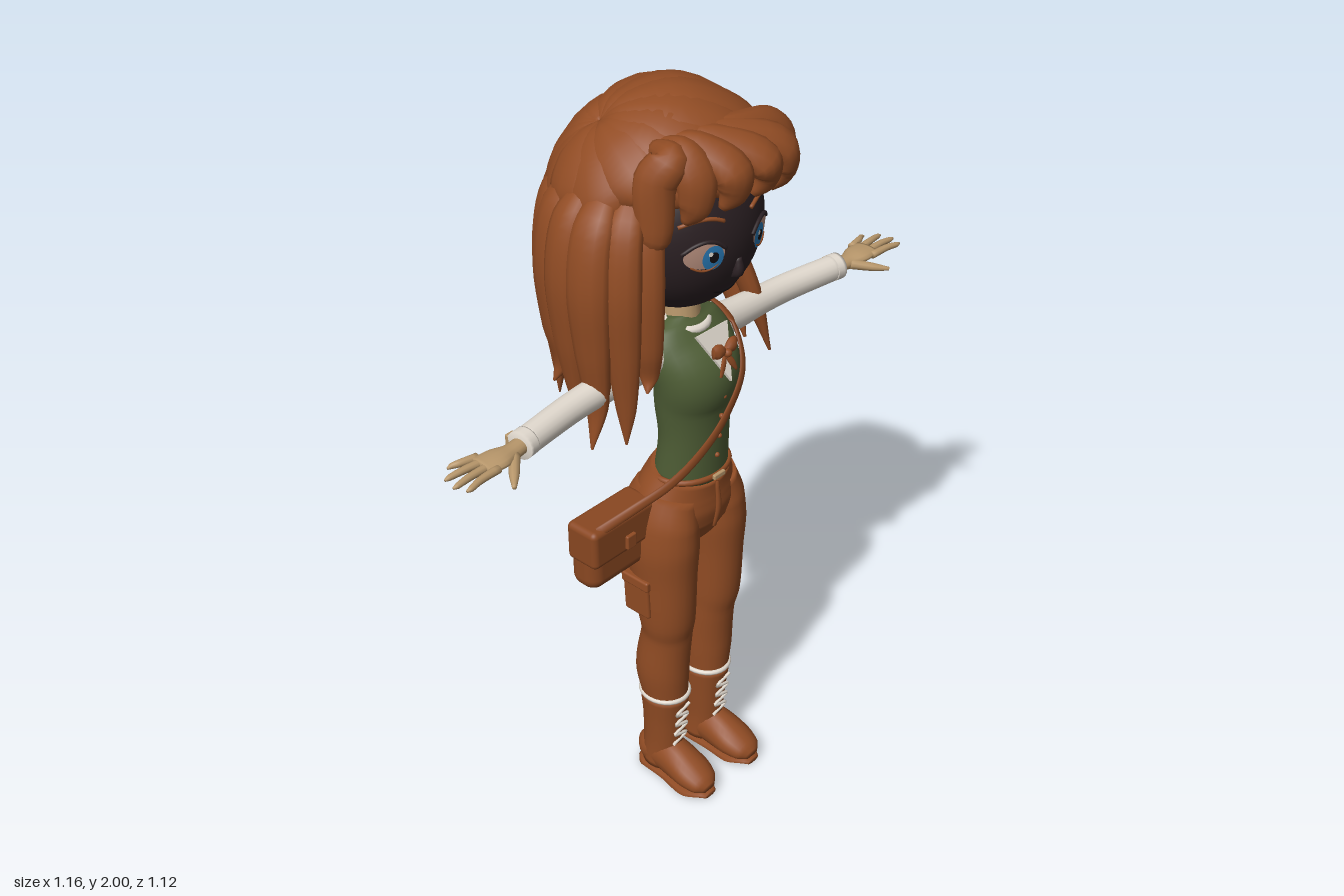
import * as THREE from 'three';
import { RoundedBoxGeometry } from 'three/addons/geometries/RoundedBoxGeometry.js';

const V = (x, y, z) => new THREE.Vector3(x, y, z);
const HEAD = { c: V(0, 1.68, -0.04), r: V(0.205, 0.222, 0.185) };
const HAIR = { c: V(-0.01, 1.72, -0.085), r: V(0.245, 0.25, 0.235) };

// Elliptical sweep through stations [x, y, z, halfWidth, halfDepth]; "up" orients the depth axis
function sweep(stations, up, steps = 28, seg = 16) {
  const path = new THREE.CatmullRomCurve3(stations.map(s => V(s[0], s[1], s[2])));
  const size = new THREE.CatmullRomCurve3(stations.map(s => V(s[3], s[4], s[0] * 0.001)));
  const pos = [], idx = [];
  for (let k = -1; k <= steps + 1; k++) {
    const t = THREE.MathUtils.clamp(k / steps, 0, 1);
    const end = k < 0 || k > steps ? 0 : 1;
    const p = path.getPoint(t), T = path.getTangent(t), q = size.getPoint(t);
    const N = (typeof up === 'function' ? up(p) : up.clone());
    N.addScaledVector(T, -N.dot(T)).normalize();
    const S = T.clone().cross(N);
    for (let j = 0; j < seg; j++) {
      const a = j / seg * Math.PI * 2;
      const v = p.clone().addScaledVector(S, end * Math.max(q.x, 0.0005) * Math.cos(a))
        .addScaledVector(N, end * Math.max(q.y, 0.0005) * Math.sin(a));
      pos.push(v.x, v.y, v.z);
    }
  }
  for (let i = 0; i < steps + 2; i++) for (let j = 0; j < seg; j++) {
    const a = i * seg + j, c = i * seg + (j + 1) % seg;
    idx.push(a, a + seg, c, c, a + seg, c + seg);
  }
  const g = new THREE.BufferGeometry();
  g.setAttribute('position', new THREE.Float32BufferAttribute(pos, 3));
  g.setIndex(idx);
  g.computeVertexNormals();
  return g;
}

// Disc laid on the front of the head
function faceDisc(x, y, rx, ry, lift) {
  const g = new THREE.RingGeometry(0.0005, 1, 28, 4), p = g.attributes.position;
  for (let i = 0; i < p.count; i++) {
    const X = x + p.getX(i) * rx, Y = y + p.getY(i) * ry;
    p.setXYZ(i, X, Y, faceZ(X, Y) + lift);
  }
  g.computeVertexNormals();
  return g;
}
function faceZ(x, y) {
  const u = (x - HEAD.c.x) / HEAD.r.x, v = (y - HEAD.c.y) / HEAD.r.y;
  return HEAD.c.z + HEAD.r.z * Math.sqrt(Math.max(0, 1 - u * u - v * v));
}

export function createModel() {
  const mat = (name, color) => Object.assign(new THREE.MeshStandardMaterial({ color, side: THREE.DoubleSide }), { name });
  const brown = mat('chestnut brown', 0x914c24), leather = mat('bag leather', 0x894721);
  const green = mat('vest green', 0x4e5d35), white = mat('shirt white', 0xe3dbd0);
  const tan = mat('tan skin', 0xb8976b), dark = mat('dark face', 0x2b2023);
  const eyeTone = mat('eye base', 0xb58d7c), blue = mat('iris blue', 0x2878b4), black = mat('pupil black', 0x120d10);
  const body = new THREE.Group();
  body.name = 'figure';
  const add = (name, geo, material, x = 0, y = 0, z = 0) => {
    const m = new THREE.Mesh(geo, material);
    m.name = name;
    m.position.set(x, y, z);
    body.add(m);
    return m;
  };
  const front = V(0, 0, 1), top = V(0, 1, 0);

  // Torso, neck and collar
  add('vest', sweep([[0, .99, -.01, .105, .083], [0, 1.1, 0, .1, .078], [0, 1.2, 0, .108, .088], [0, 1.28, .008, .12, .098],
    [0, 1.36, -.02, .128, .07], [0, 1.405, -.035, .105, .052], [0, 1.43, -.04, .05, .04]], front, 32, 28), green);
  add('neck', new THREE.CylinderGeometry(.04, .05, .1, 20), tan, 0, 1.45, -.04);
  const collar = add('collar', new THREE.TorusGeometry(.055, .012, 8, 24), white, 0, 1.415, -.03);
  collar.rotation.x = Math.PI / 2 + .25;
  const bib = new THREE.Shape([[-.055, .06], [0, -.075], [.055, .06]].map(p => new THREE.Vector2(...p)));
  const shirt = add('shirtFront', new THREE.ExtrudeGeometry(bib, { depth: .008, bevelEnabled: false }), white, 0, 1.355, .08);
  shirt.rotation.x = -.5;
  for (const s of [-1, 1]) {
    add('bowLoop', sweep([[0, 1.365, .1, .006, .008], [s * .025, 1.375, .1, .02, .012], [s * .04, 1.375, .097, .016, .006]], front, 10, 10), brown);
    add('bowTail', sweep([[0, 1.36, .1, .005, .004], [s * .015, 1.335, .108, .009, .004], [s * .028, 1.31, .112, .004, .003]], front, 8, 8), brown);
  }
  add('bowKnot', new THREE.SphereGeometry(.011, 12, 8), brown, 0, 1.365, .108);
  for (let i = 0; i < 4; i++) add('vestButton', new THREE.SphereGeometry(.007, 10, 8), brown, 0, 1.06 + i * .06, .077 + .007 * i);

  // Trousers
  add('hips', sweep([[0, .76, -.03, .03, .04], [0, .8, -.033, .1, .08], [0, .85, -.036, .155, .105], [0, .9, -.033, .161, .11],
    [0, .95, -.025, .143, .103], [0, 1.005, -.01, .112, .088]], front, 30, 32), brown);
  const belt = add('waistband', new THREE.TorusGeometry(1, .07, 8, 36), brown, 0, 1.0, -.01);
  belt.scale.set(.108, .086, .12);
  belt.rotation.x = Math.PI / 2;
  add('buckle', new RoundedBoxGeometry(.04, .014, .01, 2, .003), tan, 0, 1.003, .084);
  add('fly', sweep([[0, .98, .078, .006, .004], [.004, .9, .08, .009, .006], [0, .84, .07, .006, .004]], front, 8, 8), brown);

  for (const s of [-1, 1]) {
    // Legs with cargo pockets
    add('trouserLeg', sweep([[s * .082, .27, -.03, .058, .064], [s * .086, .38, -.035, .068, .076], [s * .084, .5, -.02, .066, .07], [s * .088, .56, -.015, .072, .078],
      [s * .09, .7, -.025, .08, .096], [s * .09, .8, -.034, .087, .112], [s * .086, .87, -.036, .083, .112], [s * .07, .95, -.028, .066, .09]], front, 36, 24), brown);
    const pocket = add('cargoPocket', new RoundedBoxGeometry(.03, .115, .085, 3, .008), brown, s * .16, .65, -.045);
    pocket.rotation.z = s * -.05;
    add('pocketFlap', new RoundedBoxGeometry(.036, .03, .092, 2, .006), brown, s * .162, .7, -.045);
    // Boots, socks and laces
    add('bootShaft', sweep([[s * .082, .03, -.045, .052, .056], [s * .082, .1, -.04, .05, .058], [s * .081, .2, -.035, .056, .062], [s * .082, .285, -.032, .064, .07]], front, 16, 20), brown);
    const sock = add('sockTrim', new THREE.TorusGeometry(1, .1, 8, 28), white, s * .082, .289, -.032);
    sock.scale.set(.061, .068, .075);
    sock.rotation.x = Math.PI / 2;
    add('bootFoot', sweep([[s * .081, .042, -.108, .025, .034], [s * .082, .055, -.08, .047, .05], [s * .085, .062, -.01, .05, .06], [s * .088, .048, .07, .056, .045], [s * .09, .034, .118, .044, .03], [s * .09, .026, .138, .02, .016]], top, 22, 18), brown);
    add('sole', sweep([[s * .081, .008, -.112, .025, .008], [s * .082, .008, -.08, .049, .008], [s * .085, .008, 0, .05, .008], [s * .09, .008, .08, .058, .008], [s * .09, .008, .142, .022, .008]], top, 20, 12), brown);
    const lace = [];
    for (let i = 0; i < 8; i++) lace.push(V(s * .082 + (i % 2 ? .024 : -.024), .125 + i * .019, .02 + i * .0022));
    add('laces', new THREE.TubeGeometry(new THREE.CatmullRomCurve3(lace), 48, .005, 6), white);

    // Arms
    add('sleeve', sweep([[s * .085, 1.355, -.03, .045, .045], [s * .15, 1.345, -.03, .044, .04], [s * .3, 1.335, -.035, .037, .036], [s * .38, 1.332, -.033, .036, .035], [s * .565, 1.33, -.009, .034, .034]], front, 24, 18), white);
    add('cuff', sweep([[s * .54, 1.33, -.013, .035, .036], [s * .568, 1.33, -.009, .035, .036]], front, 4, 18), white);
    add('cuffLink', new RoundedBoxGeometry(.026, .03, .014, 2, .004), tan, s * .56, 1.33, -.045);
    // Hands
    add('palm', sweep([[s * .56, 1.33, -.01, .019, .022], [s * .6, 1.33, -.005, .018, .024], [s * .645, 1.335, -.003, .015, .038], [s * .685, 1.335, -.006, .012, .037]], front, 16, 14), tan);
    [[.033, .768, .04], [.01, .78, .01], [-.013, .772, -.026], [-.035, .738, -.056]].forEach(([z0, x1, z1]) =>
      add('finger', sweep([[s * .665, 1.335, z0 - .005, .01, .011], [s * (x1 * .5 + .34), 1.337, (z0 + z1) / 2 - .003, .009, .009], [s * (x1 - .012), 1.335, z1, .007, .007], [s * x1, 1.334, z1, .003, .003]], front, 12, 10), tan));
    add('thumb', sweep([[s * .6, 1.328, .008, .014, .014], [s * .64, 1.318, .05, .012, .011], [s * .67, 1.312, .082, .005, .005]], top, 10, 10), tan);
  }

  // Satchel and strap
  add('bagBody', new RoundedBoxGeometry(.215, .185, .09, 5, .036), leather, -.237, .853, -.067);
  add('bagFlap', new RoundedBoxGeometry(.222, .11, .1, 4, .016), leather, -.237, .898, -.06);
  add('bagClasp', new RoundedBoxGeometry(.032, .04, .014, 2, .004), brown, -.225, .877, -.008);
  add('bagStrap', sweep([[-.32, .945, -.025, .013, .006], [-.23, .985, .012, .013, .006], [-.145, 1.035, .055, .013, .005], [-.07, 1.1, .085, .013, .005], [0, 1.18, .102, .013, .005], [.065, 1.29, .1, .013, .005],
    [.1, 1.375, .04, .013, .005], [.1, 1.416, -.03, .013, .005], [.1, 1.395, -.075, .013, .005]],
  p => V(p.x * .6, p.y > 1.38 ? .1 : 0, p.z + .07), 70, 10), leather);

  // Head and face
  const head = add('head', new THREE.SphereGeometry(1, 40, 30), dark);
  head.position.copy(HEAD.c);
  head.scale.copy(HEAD.r);
  add('nose', sweep([[0, 1.63, faceZ(0, 1.63) - .004, .008, .008], [0, 1.595, faceZ(0, 1.595) + .006, .014, .014], [0, 1.578, faceZ(0, 1.578), .01, .006]], front, 10, 10), dark);
  add('mouth', sweep([-1, -.5, 0, .5, 1].map(u => [u * .04, 1.535 + u * u * .008, faceZ(u * .04, 1.535) + .002, .003, .004]), top, 12, 8), black);
  for (const s of [-1, 1]) {
    const ex = s * .093 - .004, ix = s * .077 - .004;
    add('eyeBase', faceDisc(ex, 1.665, .045, .033, .003), eyeTone);
    add('iris', faceDisc(ix, 1.658, .025, .031, .005), blue);
    add('pupil', faceDisc(ix, 1.66, .011, .014, .007), black);
    add('eyeGlint', faceDisc(ix - .01, 1.671, .005, .006, .009), white);
    const arc = (y, rise, half, r) => [-1, -.5, 0, .5, 1].map(u => [ex + u * half, y + rise * (1 - u * u), faceZ(ex + u * half, y) + .003, r, r]);
    add('upperLid', sweep(arc(1.675, .026, .048, .005), top, 14, 8), dark);
    add('lowerLash', sweep(arc(1.64, -.012, .03, .0025), top, 14, 6), brown);
    add('eyebrow', sweep(arc(1.74, .014, .048, .005), top, 14, 8), brown);
    const ear = add('ear', new THREE.SphereGeometry(1, 18, 14), dark, s * .215, 1.63, -.065);
    ear.scale.set(.024, .06, .045);
    ear.rotation.y = s * -.4;
  }

  // Hair cap
  const cap = add('hairCap', new THREE.SphereGeometry(1, 40, 24, 0, Math.PI * 2, 0, 1.68), brown);
  cap.position.copy(HAIR.c);
  cap.scale.copy(HAIR.r);
  cap.rotation.x = -.6;
  const outward = p => p.clone().sub(HAIR.c);
  const onCap = (d, k) => d.clone().normalize().multiply(HAIR.r).multiplyScalar(k).add(HAIR.c);
  // Swept strands radiating from the crown parting; they stop above the ears and brow
  const crown = V(-.5, .75, -.25).normalize();
  for (let i = 0; i < 14; i++) {
    const a = i / 14 * Math.PI * 2, z = Math.cos(a);
    const d = V(Math.sin(a), z > .4 ? .4 : z > -.5 ? .08 : -.42 - .12 * (i % 2), z).normalize();
    const st = [0, .2, .45, .7, .9, 1].map((t, k) => {
      const p = onCap(crown.clone().lerp(d, t), [1, 1, 1, 1.01, 1, .93][k]);
      return [p.x, p.y, p.z, [.012, .05, .08, .082, .06, .02][k], [.01, .026, .034, .038, .035, .012][k]];
    });
    add('crownStrand', sweep(st, outward, 22, 12), brown);
  }
  // Fringe locks swept across from the parting
  [[-.2, 1.71, .05], [-.13, 1.775, .105], [-.05, 1.795, .145], [.045, 1.8, .155], [.13, 1.78, .135], [.195, 1.735, .07]].forEach(([x, y, z], i) => {
    const x0 = -.15 + i * .012;
    add('fringeLock', sweep([[x0, 1.92, .02, .02, .015], [x0 * .55 + x * .45, 1.915, .085, .042, .03], [x * .98, 1.865, z + .015, .05, .036], [x * 1.04, y + .025, z + .018, .04, .028], [x * .97 - .025, y - .012, z + .005, .01, .009]], outward, 20, 12), brown);
  });
  // Long hanging locks: [angle, reach, tip height, width]
  [[-58, .265, 1.34, .04], [-68, .3, 1.2, .048], [-81, .32, 1.19, .055], [-95, .315, 1.26, .055], [-110, .3, 1.3, .058], [-127, .285, 1.21, .055], [-146, .275, 1.3, .055],
    [-165, .265, 1.36, .055], [176, .265, 1.25, .055], [158, .27, 1.19, .055], [140, .275, 1.28, .052], [122, .27, 1.18, .048]].forEach(([deg, R, tip, w], i) => {
    const a = deg * Math.PI / 180;
    const at = (r, y, k) => [Math.sin(a) * r, y, -.08 + Math.cos(a) * r, w * k, w * k * .62];
    add('longLock', sweep([at(R * .72, 1.83, .5), at(R * .92, 1.75, 1), at(R, 1.62, 1.08), at(R * .98, 1.45, .9), at(R * .95, (tip + 1.4) / 2, .55), at(R * (i % 2 ? .96 : 1.03), tip, .06)],
      () => V(Math.sin(a), 0, Math.cos(a)), 26, 12), brown);
  });
  // Loose locks falling forward over the left shoulder
  add('shoulderLock', sweep([[.18, 1.64, -.14, .02, .02], [.225, 1.52, -.1, .042, .028], [.265, 1.37, -.05, .036, .024], [.305, 1.19, -.015, .004, .004]], V(1, 0, .3), 22, 12), brown);
  add('shoulderLock', sweep([[.18, 1.68, -.18, .025, .02], [.24, 1.52, -.16, .048, .03], [.255, 1.38, -.11, .04, .024], [.26, 1.23, -.06, .004, .004]], V(1, 0, .1), 22, 12), brown);

  // Turn the figure toward its diagonal stance
  body.rotation.y = .77;
  const model = new THREE.Group();
  model.name = 'model';
  model.add(body);
  return model;
}
